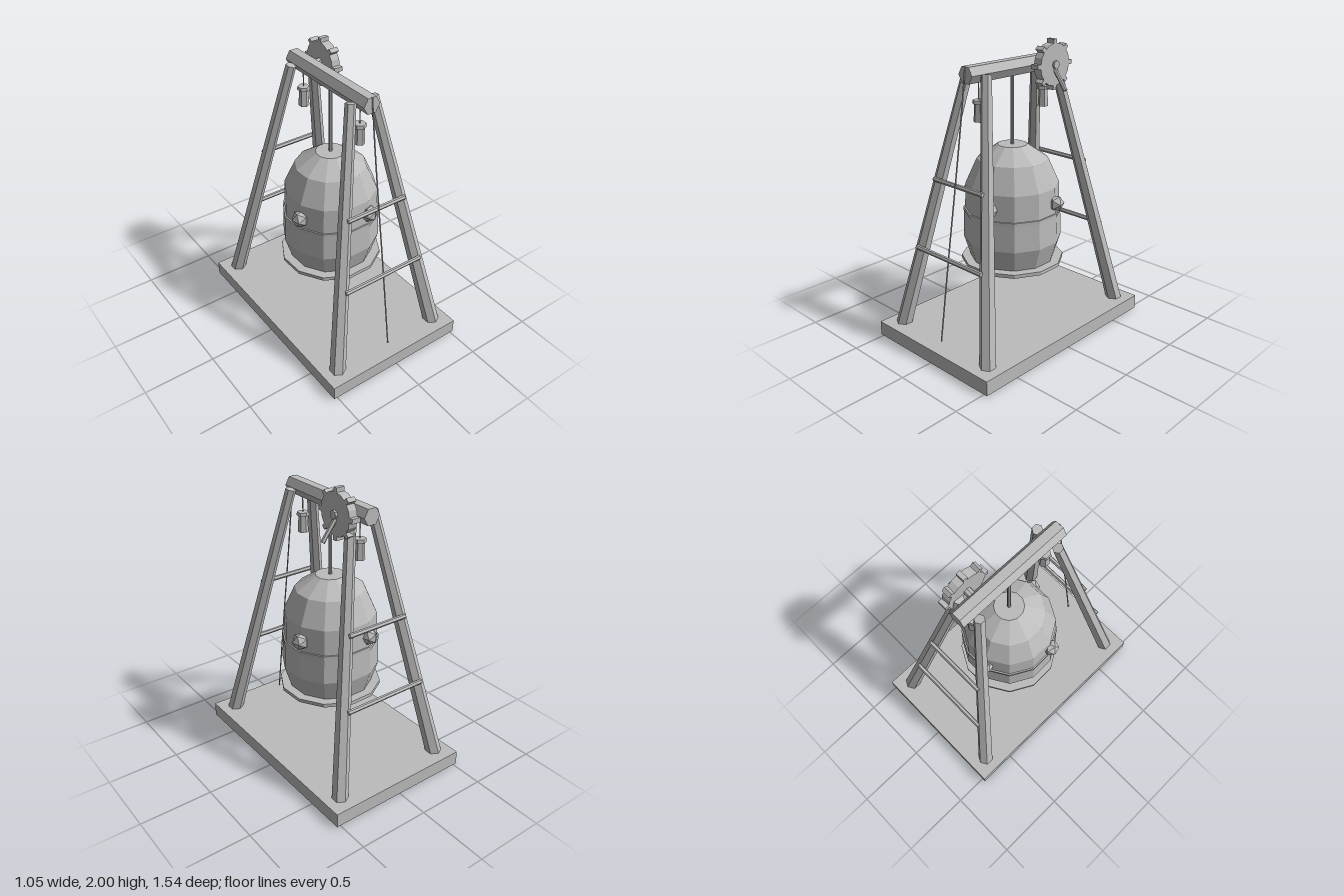
import * as THREE from 'three';

const V = (x, y, z) => new THREE.Vector3(x, y, z);

export function createModel() {
  const model = new THREE.Group();
  model.name = 'bellFrame';
  const grey = new THREE.MeshStandardMaterial({ color: 0xbcbcbc, flatShading: true });
  grey.name = 'grey';

  const add = (name, geometry, parent = model) => {
    const mesh = new THREE.Mesh(geometry, grey);
    mesh.name = name;
    parent.add(mesh);
    return mesh;
  };

  // Straight bar from a to b, tapering from radius ra to rb
  const bar = (name, a, b, ra, rb = ra, sides = 6, parent = model) => {
    const mesh = add(name, new THREE.CylinderGeometry(rb, ra, a.distanceTo(b), sides), parent);
    mesh.position.copy(a).add(b).multiplyScalar(0.5);
    mesh.quaternion.setFromUnitVectors(V(0, 1, 0), b.clone().sub(a).normalize());
    return mesh;
  };

  // Base slab
  add('base', new THREE.BoxGeometry(1.05, 0.1, 1.54)).position.y = 0.05;

  // Four splayed legs
  for (const sx of [-1, 1]) for (const sz of [-1, 1]) {
    bar('leg', V(sx * 0.418, 0.06, sz * 0.658), V(sx * 0.083, 1.835, sz * 0.313), 0.055, 0.035);
  }

  // Hexagonal top beam with corners to the sides
  const beam = add('topBeam', new THREE.CylinderGeometry(0.06, 0.06, 0.82, 6).rotateY(Math.PI / 2).rotateX(Math.PI / 2));
  beam.position.y = 1.835;

  for (const s of [-1, 1]) {
    // Rungs between each pair of legs
    bar('lowerRung', V(-0.307, 0.675, s * 0.592), V(0.307, 0.675, s * 0.592), 0.016);
    bar('upperRung', V(-0.225, 1.145, s * 0.492), V(0.225, 1.145, s * 0.492), 0.016);

    // Hanging lanterns
    const lantern = new THREE.Group();
    lantern.name = 'lantern';
    lantern.position.z = s * 0.3;
    model.add(lantern);
    bar('lanternCord', V(0, 1.65, 0), V(0, 1.8, 0), 0.004, 0.004, 5, lantern);
    bar('lanternBody', V(0, 1.53, 0), V(0, 1.65, 0), 0.036, 0.03, 6, lantern);
    bar('lanternCap', V(0, 1.645, 0), V(0, 1.668, 0), 0.043, 0.04, 6, lantern);
  }

  // Bell, turned a little about its rod
  bar('bellRod', V(0, 1.31, 0), V(0, 1.82, 0), 0.012, 0.012, 8);
  const bell = new THREE.Group();
  bell.name = 'bell';
  bell.rotation.y = 0.285;
  model.add(bell);
  const lathe = (name, points) =>
    add(name, new THREE.LatheGeometry(points.map(p => new THREE.Vector2(...p)), 12), bell);
  lathe('bellDome', [[0, 0.88], [0.322, 0.88], [0.314, 1.06], [0.238, 1.23], [0.1, 1.325], [0, 1.325]]);
  lathe('bellSkirt', [[0, 0.52], [0.285, 0.52], [0.335, 0.68], [0.327, 0.88], [0, 0.88]]);
  lathe('bellBand', [[0.318, 0.86], [0.332, 0.86], [0.332, 0.885], [0.318, 0.885]]);
  lathe('bellRim', [[0, 0.505], [0.35, 0.505], [0.35, 0.53], [0, 0.53]]);

  // Four faceted studs around the bell
  for (let i = 0; i < 4; i++) {
    const a = i * Math.PI / 2;
    add('stud', new THREE.IcosahedronGeometry(0.058), bell)
      .position.set(Math.sin(a) * 0.322, 0.96, Math.cos(a) * 0.322);
  }

  // Toothed wheel beside the beam
  const wheel = new THREE.Group();
  wheel.name = 'toothedWheel';
  wheel.position.set(0.12, 1.835, -0.245);
  model.add(wheel);
  add('wheelDisc', new THREE.CylinderGeometry(0.14, 0.14, 0.06, 16).rotateZ(Math.PI / 2), wheel);
  for (let i = 0; i < 8; i++) {
    const a = i * Math.PI / 4;
    const tooth = add('tooth', new THREE.BoxGeometry(0.06, 0.045, 0.03), wheel);
    tooth.position.set(0, Math.cos(a) * 0.1425, Math.sin(a) * 0.1425);
    tooth.rotation.x = a;
  }
  bar('axle', V(-0.12, 0, 0), V(0.045, 0, 0), 0.028, 0.028, 8, wheel);
  bar('crankHandle', V(0.012, -0.01, 0), V(0.122, -0.158, 0), 0.015, 0.015, 6, wheel);

  // Pull rope at the front end
  const path = new THREE.CatmullRomCurve3([
    V(0, 1.89, 0.41), V(0, 1.6, 0.447), V(0, 1.16, 0.512), V(0, 0.76, 0.575), V(0, 0.12, 0.67),
  ]);
  add('pullRope', new THREE.TubeGeometry(path, 16, 0.005, 5));

  return model;
}
